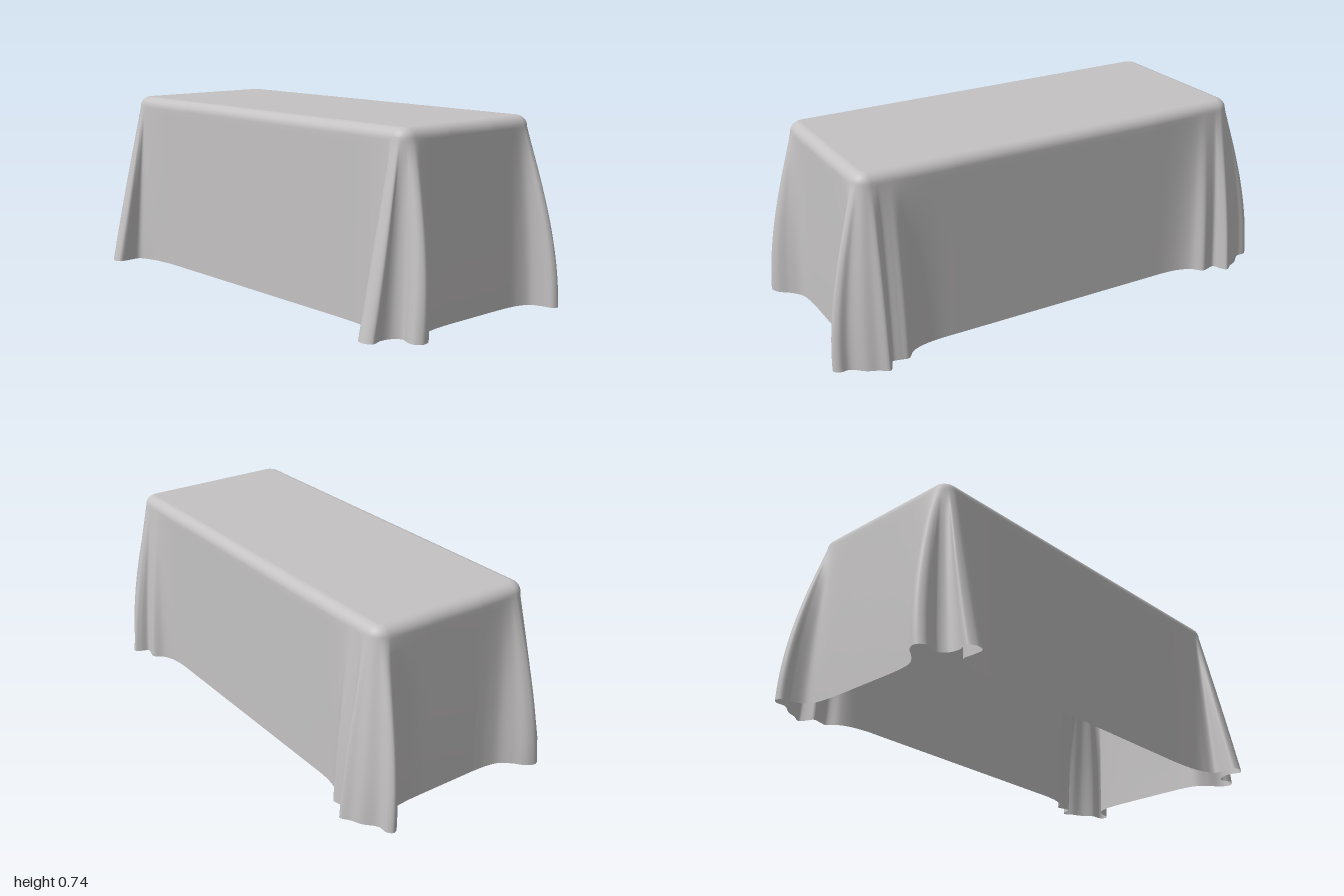
import * as THREE from 'three';

const HX = 0.857, HZ = 0.358, ZC = -0.024; // half sizes of the table top, centre in z
const R = 0.06, HALF = Math.PI * R / 4;    // corner radius, half the corner arc
const TOP = 0.743, RIM = 0.045;            // height and edge rounding

// Hem folds of one corner, from long side to short side: [x, z, s]
// s is the matching distance along the top edge, measured from the corner.
const frontFolds = [
  [0.45, 0.335, -0.39], [0.58, 0.336, -0.26], [0.68, 0.345, -0.16], [0.745, 0.362, -0.095],
  [0.785, 0.385, -0.066], [0.786, 0.44, -0.055], [0.79, 0.482, -0.045], [0.822, 0.492, -0.033],
  [0.855, 0.472, -0.02], [0.845, 0.425, -0.01], [0.855, 0.38, 0], [0.885, 0.355, 0.01],
  [0.92, 0.368, 0.02], [0.952, 0.368, 0.03], [0.974, 0.342, 0.04], [0.962, 0.305, 0.055],
  [0.92, 0.268, 0.075], [0.885, 0.225, 0.11], [0.872, 0.17, 0.155], [0.868, 0.1, 0.225],
];
const backFolds = [
  [0.45, -0.383, -0.39], [0.56, -0.384, -0.28], [0.63, -0.395, -0.21], [0.675, -0.415, -0.165],
  [0.71, -0.452, -0.125], [0.74, -0.447, -0.1], [0.775, -0.442, -0.075], [0.79, -0.475, -0.06],
  [0.808, -0.497, -0.045], [0.845, -0.474, -0.03], [0.885, -0.456, -0.012], [0.935, -0.415, 0.005],
  [0.975, -0.413, 0.016], [0.994, -0.395, 0.026], [0.985, -0.373, 0.036], [0.945, -0.363, 0.05],
  [0.9, -0.342, 0.075], [0.878, -0.295, 0.11], [0.87, -0.235, 0.165], [0.868, -0.16, 0.24],
];

// Point on the rounded top edge near a corner, pulled in by an inset
function edgePoint(s, inset, sx, sz) {
  const r = R - inset;
  let x = HX - R, z = HZ - R;
  if (s < -HALF) { x += s + HALF; z += r; }
  else if (s > HALF) { x += r; z -= s - HALF; }
  else {
    const a = (s + HALF) / R;
    x += r * Math.sin(a);
    z += r * Math.cos(a);
  }
  return [sx * x, ZC + sz * z];
}

// Smooth samples around one corner, keeping the loop direction
function cornerSamples(folds, sx, sz) {
  const curve = new THREE.CatmullRomCurve3(folds.map(([x, z, s]) => new THREE.Vector3(x, s, z)));
  const out = [];
  const n = 110;
  for (let i = 0; i <= n; i++) {
    const p = curve.getPoint(i / n);
    out.push({ x: sx * p.x, z: p.z, s: p.y, sx, sz });
  }
  return sx * sz > 0 ? out : out.reverse();
}

function clothGeometry() {
  const loop = [
    ...cornerSamples(frontFolds, 1, 1),
    ...cornerSamples(backFolds, 1, -1),
    ...cornerSamples(backFolds, -1, -1),
    ...cornerSamples(frontFolds, -1, 1),
  ];
  const n = loop.length, pos = [], index = [];
  let rows = 0;

  // Rounded rim, from the flat top out to the walls
  for (let j = 0; j <= 7; j++, rows++) {
    const a = (j / 7) * Math.PI / 2;
    for (const p of loop) {
      const [x, z] = edgePoint(p.s, RIM * (1 - Math.sin(a)), p.sx, p.sz);
      pos.push(x, TOP - RIM * (1 - Math.cos(a)), z);
    }
  }

  // Hanging walls that flare from the edge into the hem folds
  const steps = 28;
  for (let j = 1; j <= steps; j++, rows++) {
    const v = j / steps, ex = Math.sin(v * Math.PI / 2);
    for (const p of loop) {
      const [x, z] = edgePoint(p.s, 0, p.sx, p.sz);
      const ez = p.sz > 0 ? v : (v + ex) / 2;
      pos.push(x + (p.x - x) * ex, (TOP - RIM) * (1 - v), z + (p.z - z) * ez);
    }
  }
  for (let j = 0; j < rows - 1; j++) {
    for (let i = 0; i < n; i++) {
      const k = (i + 1) % n, a = j * n, b = a + n;
      index.push(a + i, b + i, b + k, a + i, b + k, a + k);
    }
  }

  // Flat top
  const centre = pos.length / 3;
  pos.push(0, TOP, ZC);
  for (let i = 0; i < n; i++) index.push(centre, i, (i + 1) % n);

  const geo = new THREE.BufferGeometry();
  geo.setAttribute('position', new THREE.Float32BufferAttribute(pos, 3));
  geo.setIndex(index);
  geo.computeVertexNormals();
  return geo;
}

export function createModel() {
  const group = new THREE.Group();
  group.name = 'drapedTable';
  const linen = new THREE.MeshStandardMaterial({ color: 0xc4c2c2, side: THREE.DoubleSide });
  linen.name = 'greyLinen';
  const cloth = new THREE.Mesh(clothGeometry(), linen);
  cloth.name = 'tablecloth';
  group.add(cloth);
  return group;
}
